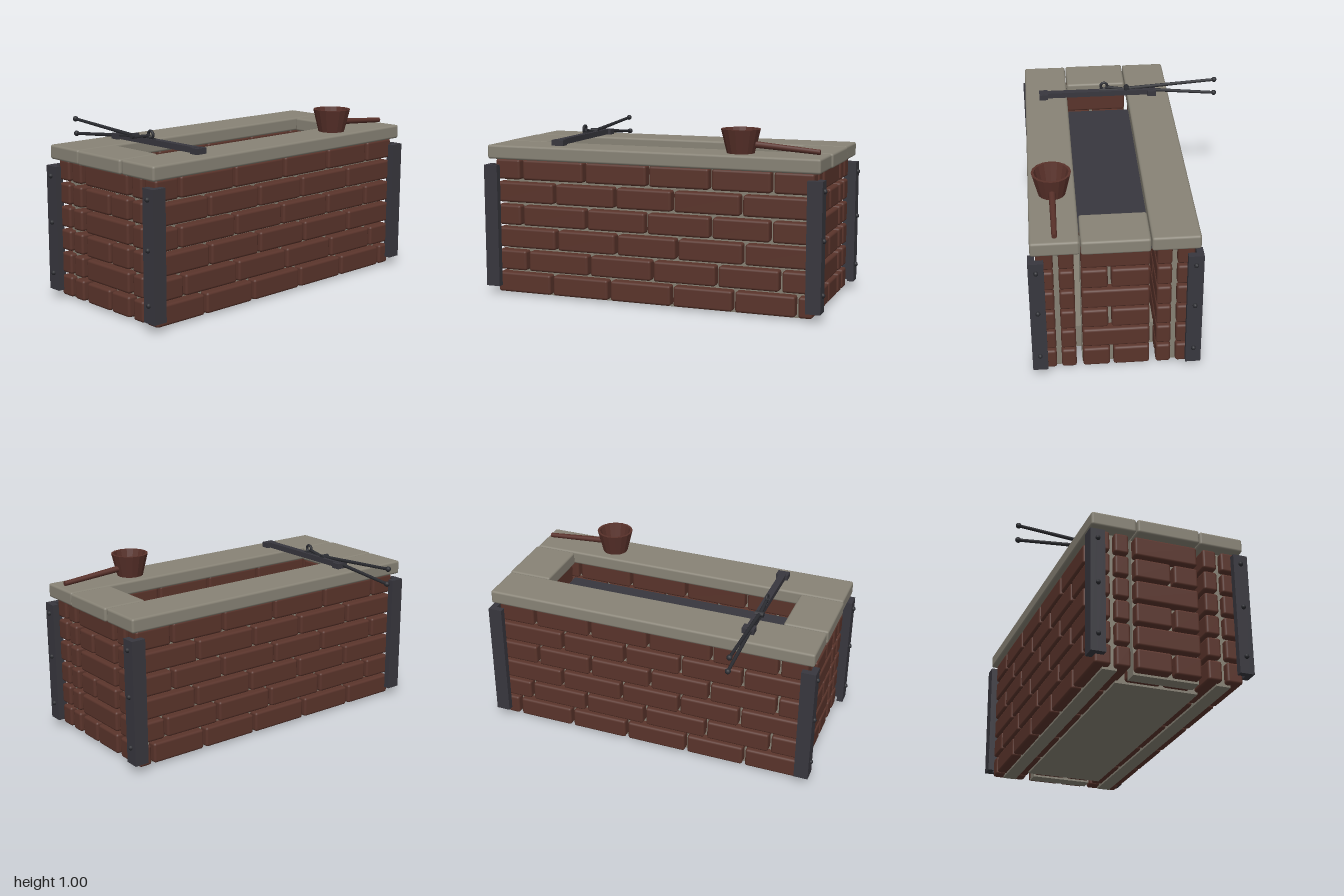
import * as THREE from 'three';
import { RoundedBoxGeometry } from 'three/addons/geometries/RoundedBoxGeometry.js';

const mat = (name, color, side = THREE.FrontSide) => {
  const m = new THREE.MeshStandardMaterial({ color, side });
  m.name = name;
  return m;
};

export function createModel() {
  const root = new THREE.Group();
  root.name = 'slackTub';
  const brick = mat('brick red', 0x5a342b);
  const stone = mat('coping stone', 0x888376);
  const mortar = mat('mortar', 0x868174);
  const iron = mat('iron', 0x38373e);
  const darkIron = mat('dark iron', 0x2b2c31);
  const copper = mat('ladle brown', 0x59312a, THREE.DoubleSide);

  const add = (name, geo, material, x = 0, y = 0, z = 0, parent = root) => {
    const m = new THREE.Mesh(geo, material);
    m.name = name;
    m.position.set(x, y, z);
    parent.add(m);
    return m;
  };
  // Box given by its limits; r rounds the edges
  const box = (name, material, [x0, x1], [y0, y1], [z0, z1], r = 0, parent = root) => {
    const s = [x1 - x0, y1 - y0, z1 - z0];
    const geo = r ? new RoundedBoxGeometry(...s, 2, r) : new THREE.BoxGeometry(...s);
    return add(name, geo, material, (x0 + x1) / 2, (y0 + y1) / 2, (z0 + z1) / 2, parent);
  };
  const span = (c, w) => [c - w / 2, c + w / 2];
  // Round rod between two points
  const rod = (name, material, a, b, ra, rb, parent = root) => {
    const p = new THREE.Vector3(...a), q = new THREE.Vector3(...b);
    const d = q.clone().sub(p);
    const m = add(name, new THREE.CylinderGeometry(rb, ra, d.length(), 10), material, 0, 0, 0, parent);
    m.position.copy(p).lerp(q, 0.5);
    m.quaternion.setFromUnitVectors(new THREE.Vector3(0, 1, 0), d.normalize());
  };

  const ZC = 0.143;      // middle of the tub in depth
  const PITCH = 0.1315;  // height of one course
  const GAP = 0.009;     // half a joint
  const courseY = (i) => [0.012 + i * PITCH, 0.127 + i * PITCH];

  // Long walls: mortar core with a brick skin on both faces
  const joints = [
    [-0.59, -0.235, 0.14, 0.495, 0.845],
    [-0.74, -0.355, 0.025, 0.4, 0.755],
    [-0.555, -0.19, 0.17, 0.55],
    [-0.77, -0.37, -0.01, 0.365, 0.7],
    [-0.565, -0.195, 0.145, 0.535],
    [-0.77, -0.38, 0, 0.36, 0.705],
  ];
  for (const s of [1, -1]) {
    const wall = new THREE.Group();
    wall.name = s > 0 ? 'frontWall' : 'backWall';
    root.add(wall);
    box('mortarCore', mortar, [-0.89, 0.89], [0, 0.786], span(ZC + s * 0.317, 0.08), 0, wall);
    joints.forEach((row, i) => {
      const xs = [-0.93 - GAP, ...row, 0.93 + GAP];
      for (let k = 0; k + 1 < xs.length; k++) {
        const x = [xs[k] + GAP, xs[k + 1] - GAP];
        box('outerBrick', brick, x, courseY(i), span(ZC + s * 0.367, 0.09), 0.014, wall);
        box('innerBrick', brick, x, courseY(i), span(ZC + s * 0.255, 0.08), 0.014, wall);
      }
    });
  }

  // End walls: alternating single and split courses
  for (const s of [1, -1]) {
    const wall = new THREE.Group();
    wall.name = s > 0 ? 'leftEndWall' : 'rightEndWall';
    root.add(wall);
    box('mortarCore', mortar, span(s * 0.835, 0.08), [0, 0.786], [-0.04, 0.326], 0, wall);
    for (let i = 0; i < 6; i++) {
      const parts = i % 2 ? [[-0.037, 0.323]] : [[-0.037, i ? 0.166 : 0.158], [i ? 0.184 : 0.176, 0.323]];
      for (const z of parts) {
        box('outerBrick', brick, span(s * 0.885, 0.09), courseY(i), z, 0.014, wall);
        box('innerBrick', brick, span(s * 0.775, 0.08), courseY(i), z, 0.014, wall);
      }
    }
  }

  // Floor slab and the dark surface inside
  box('floorSlab', mortar, [-0.75, 0.75], [0, 0.145], [-0.09, 0.376]);
  box('innerSurface', iron, [-0.75, 0.75], [0.646, 0.658], [-0.09, 0.376]);

  // Coping stones
  for (const s of [1, -1]) {
    box('longCoping', stone, [-0.968, 0.968], [0.786, 0.866], span(ZC + s * 0.311, 0.254), 0.013);
    box('endCoping', stone, span(s * 0.846, 0.256), [0.786, 0.866], [-0.036, 0.322], 0.013);
  }

  // Corner angle irons with rivets
  for (const sx of [1, -1]) for (const sz of [1, -1]) {
    const corner = new THREE.Group();
    corner.name = 'cornerIron';
    root.add(corner);
    box('faceFlange', iron, span(sx * 0.943, 0.082), [0.05, 0.752], span(ZC + sz * 0.434, 0.036), 0, corner);
    box('sideFlange', iron, span(sx * 0.966, 0.036), [0.05, 0.752], span(ZC + sz * 0.393, 0.046), 0, corner);
    for (const y of [0.147, 0.436, 0.697]) {
      const rivet = add('rivet', new THREE.SphereGeometry(0.014, 10, 8), darkIron, sx * 0.986, y, ZC + sz * 0.411, corner);
      rivet.scale.z = 0.95;
    }
  }

  // Rest bar lying across the tub
  const rest = new THREE.Group();
  rest.name = 'restBar';
  root.add(rest);
  box('bar', iron, [-0.588, -0.55], [0.868, 0.9], [-0.2, 0.47], 0, rest);
  for (const z of [0.47, -0.19]) box('barEnd', iron, [-0.602, -0.532], [0.864, 0.898], span(z, 0.052), 0, rest);

  // Tongs
  const tongs = new THREE.Group();
  tongs.name = 'tongs';
  root.add(tongs);
  const X = -0.58, pivot = [X, 0.9, -0.04];
  for (const [y, dx] of [[0.936, -0.003], [0.849, 0.003]]) {
    const end = [X + dx, y, -0.58];
    rod('handle', darkIron, pivot, end, 0.011, 0.009, tongs);
    add('handleBall', new THREE.SphereGeometry(0.016, 12, 8), darkIron, ...end, tongs);
  }
  const pin = add('pivotPin', new THREE.CylinderGeometry(0.016, 0.016, 0.05, 12), darkIron, ...pivot, tongs);
  pin.rotation.z = Math.PI / 2;
  rod('upperJaw', darkIron, [X, 0.893, -0.03], [X, 0.917, 0.09], 0.011, 0.009, tongs);
  rod('lowerJaw', darkIron, [X + 0.008, 0.89, -0.03], [X + 0.005, 0.9, 0.13], 0.011, 0.008, tongs);
  const hook = add('jawRing', new THREE.TorusGeometry(0.02, 0.008, 8, 16), darkIron, X, 0.924, 0.1, tongs);
  hook.rotation.y = Math.PI / 2;

  // Ladle: open tapered cup with a sloping handle
  const ladle = new THREE.Group();
  ladle.name = 'ladle';
  root.add(ladle);
  const profile = [[0, 0], [0.075, 0], [0.107, 0.13], [0.093, 0.13], [0.065, 0.015], [0, 0.015]]
    .map(([r, y]) => new THREE.Vector2(r, y));
  const cupGeo = new THREE.LatheGeometry(profile, 16).toNonIndexed();
  cupGeo.computeVertexNormals();
  add('cup', cupGeo, copper, 0.5, 0.866, 0.452, ladle);
  rod('ladleHandle', copper, [0.585, 0.914, 0.452], [0.935, 0.886, 0.452], 0.018, 0.014, ladle);

  return root;
}
